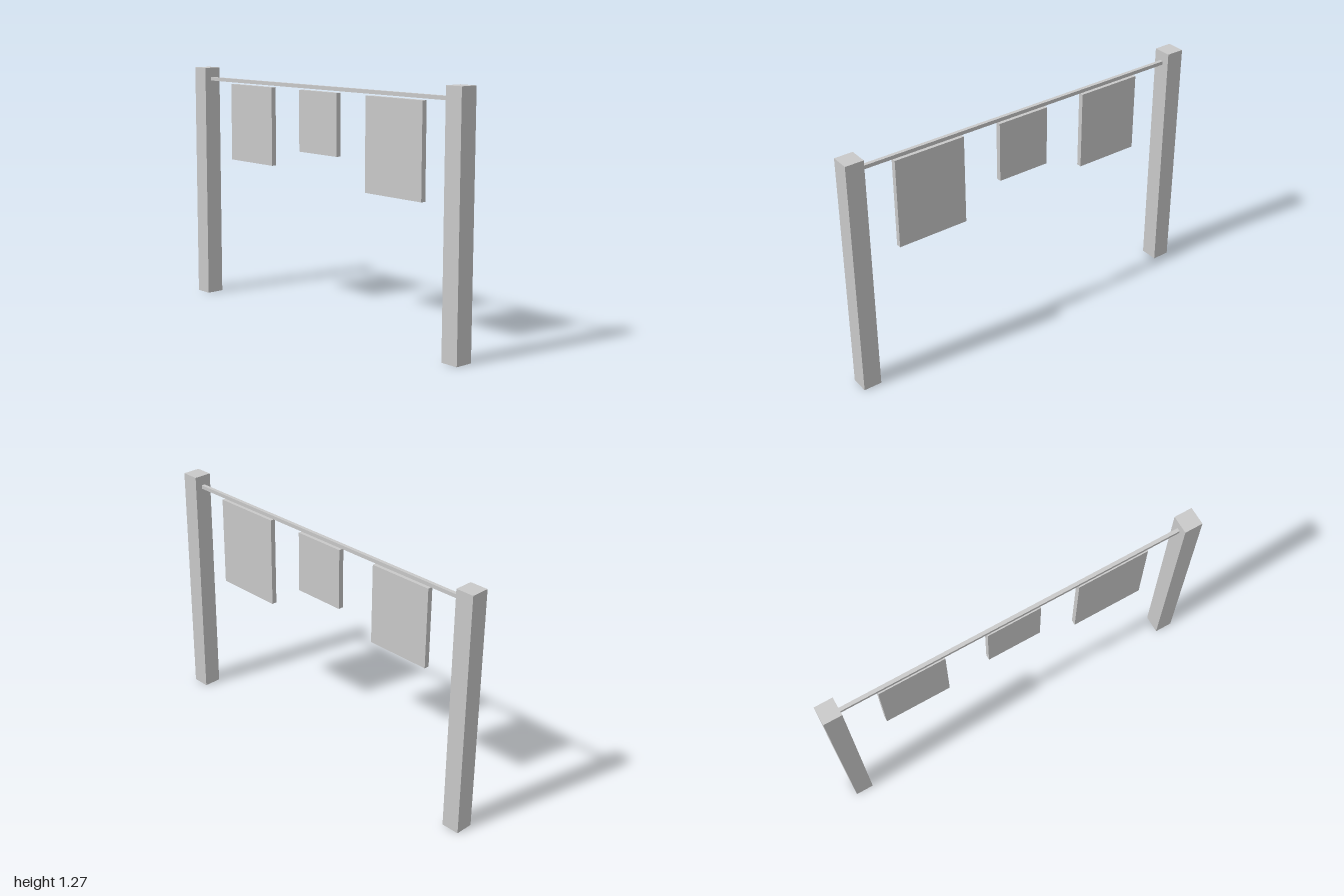
import * as THREE from 'three';

export function createModel() {
  const model = new THREE.Group();
  const grey = new THREE.MeshStandardMaterial({ color: 0xc9c9c9 });
  grey.name = 'light grey';

  const addBox = (name, width, height, depth, x, y) => {
    const mesh = new THREE.Mesh(new THREE.BoxGeometry(width, height, depth), grey);
    mesh.name = name;
    mesh.position.set(x, y, 0);
    model.add(mesh);
  };

  // Square posts at both ends
  const postWidth = 0.0955, postHeight = 1.27;
  for (const [name, side] of [['leftPost', 1], ['rightPost', -1]]) {
    addBox(name, postWidth, postHeight, postWidth, side * (1 - postWidth / 2), postHeight / 2);
  }

  // Thin square rod between the inner faces of the posts
  addBox('rod', 2 - 2 * postWidth, 0.019, 0.019, 0, 1.209);

  // Hanging panels, just below the rod: [name, x from, x to, bottom]
  const panelTop = 1.19;
  const panels = [
    ['rightPanel', -0.715, -0.367, 0.778],
    ['middlePanel', -0.144, 0.142, 0.874],
    ['leftPanel', 0.349, 0.729, 0.719],
  ];
  for (const [name, x0, x1, bottom] of panels) {
    addBox(name, x1 - x0, panelTop - bottom, 0.027, (x0 + x1) / 2, (panelTop + bottom) / 2);
  }

  return model;
}
